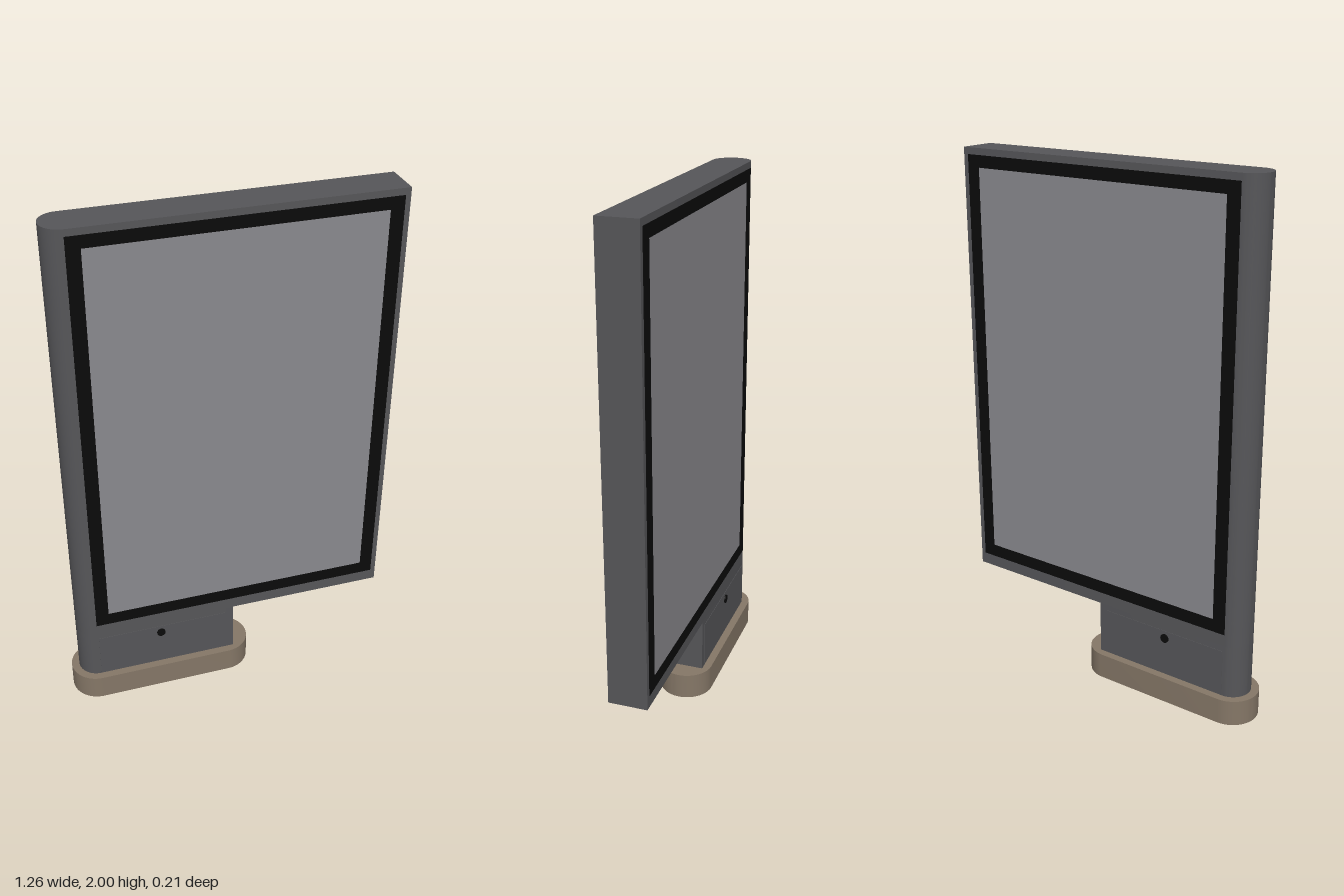
import * as THREE from 'three';
import { toCreasedNormals } from 'three/addons/utils/BufferGeometryUtils.js';

const paint = (name, color) => {
  const m = new THREE.MeshStandardMaterial({ color });
  m.name = name;
  return m;
};

export function createModel() {
  const grey = paint('dark grey casing', 0x565659);
  const stone = paint('warm stone', 0x857767);
  const black = paint('black trim', 0x0a0a0a);
  const glass = paint('grey glass', 0x8a898e);
  const model = new THREE.Group();

  const add = (name, geometry, material, x = 0, y = 0, z = 0, parent = model) => {
    const mesh = new THREE.Mesh(geometry, material);
    mesh.name = name;
    mesh.position.set(x, y, z);
    parent.add(mesh);
    return mesh;
  };

  // Upright slab with a plan from x0 to x1, round on the -x end and optionally on the +x end
  const slab = (x0, x1, r, y0, y1, roundBoth) => {
    const s = new THREE.Shape();
    if (roundBoth) s.absarc(x1 - r, 0, r, -Math.PI / 2, Math.PI / 2);
    else s.moveTo(x1, -r).lineTo(x1, r);
    s.absarc(x0 + r, 0, r, Math.PI / 2, Math.PI * 1.5);
    s.closePath();
    const g = new THREE.ExtrudeGeometry(s, { depth: y1 - y0, bevelEnabled: false, curveSegments: 16 });
    g.rotateX(-Math.PI / 2).translate(0, y0, 0);
    return toCreasedNormals(g, 0.6);
  };

  // Rectangular frame in the xy plane
  const rect = (P, x0, y0, x1, y1) =>
    new P([[x0, y0], [x1, y0], [x1, y1], [x0, y1]].map(([x, y]) => new THREE.Vector2(x, y)));
  const frame = (outer, inner, depth) => {
    const s = rect(THREE.Shape, ...outer);
    s.holes.push(rect(THREE.Path, ...inner));
    return new THREE.ExtrudeGeometry(s, { depth, bevelEnabled: false });
  };

  add('base', slab(-0.635, 0.095, 0.103, 0, 0.1, true), stone);
  add('column', slab(-0.605, 0.02, 0.073, 0.1, 0.308, false), grey);
  add('cabinet', slab(-0.605, 0.63, 0.073, 0.308, 2, false), grey);

  // Display, access panel and lock on both faces
  for (const side of [1, -1]) {
    const face = new THREE.Group();
    face.name = side > 0 ? 'frontFace' : 'backFace';
    if (side < 0) face.rotation.y = Math.PI;
    model.add(face);
    const span = (a, b) => (side > 0 ? [a, b] : [-b, -a]);
    const [fx0, fx1] = span(-0.535, 0.61);
    const [gx0, gx1] = span(-0.485, 0.56);
    add('displayFrame', frame([fx0, 0.355, fx1, 1.975], [gx0, 0.405, gx1, 1.93], 0.003), black, 0, 0, 0.072, face);
    add('displayGlass', new THREE.BoxGeometry(gx1 - gx0, 1.525, 0.002), glass, (gx0 + gx1) / 2, 1.1675, 0.073, face);
    add('accessPanel', new THREE.BoxGeometry(0.52, 0.18, 0.003), grey, -0.27 * side, 0.195, 0.073, face);
    const lock = new THREE.CylinderGeometry(0.017, 0.017, 0.008, 16).rotateX(Math.PI / 2);
    add('lock', lock, black, -0.28 * side, 0.255, 0.076, face);
  }
  return model;
}
